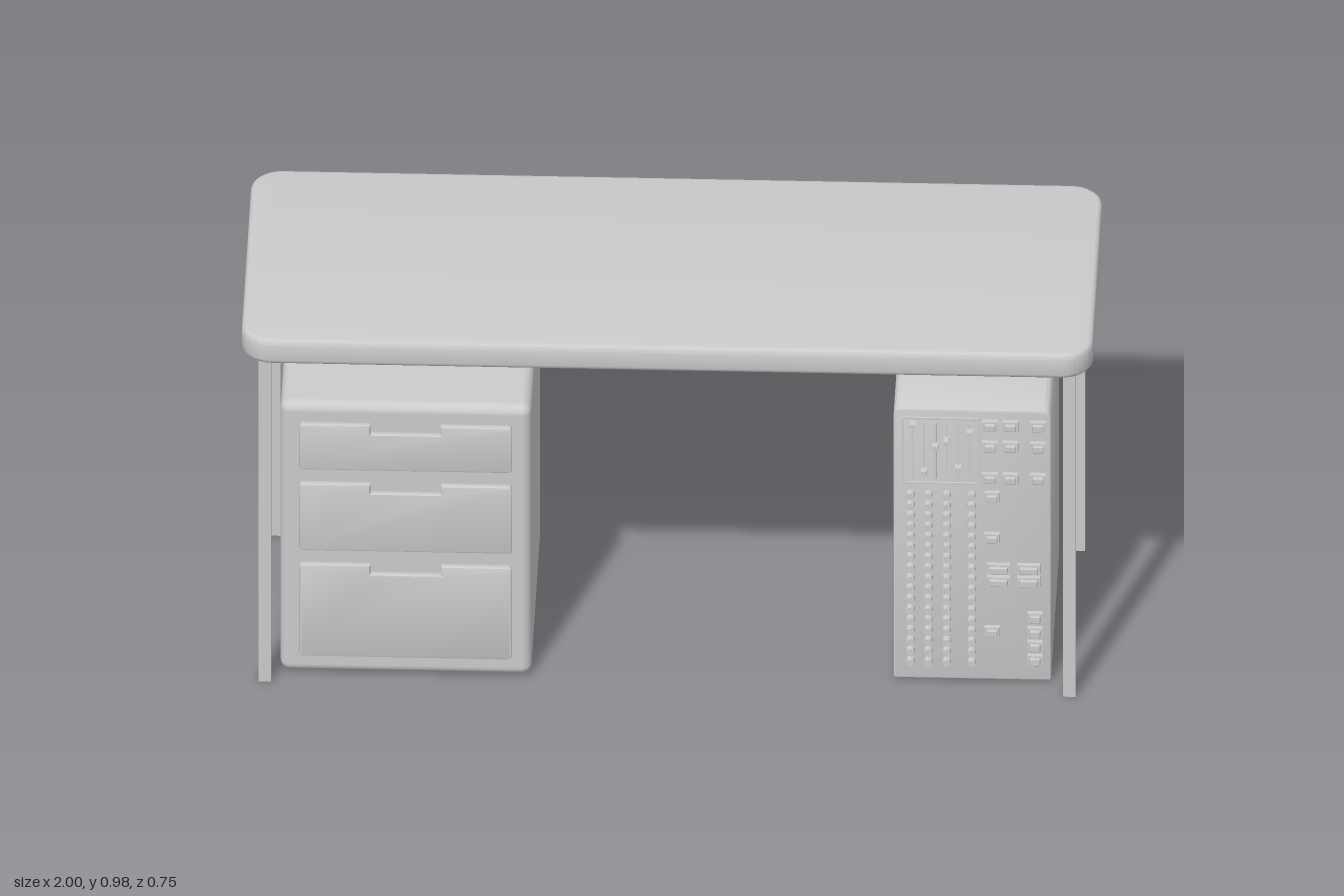
import * as THREE from 'three';
import { RoundedBoxGeometry } from 'three/addons/geometries/RoundedBoxGeometry.js';
import { toCreasedNormals } from 'three/addons/utils/BufferGeometryUtils.js';

const material = new THREE.MeshStandardMaterial({ color: 0xcccccc });

function add(parent, name, geometry, x = 0, y = 0, z = 0) {
  const mesh = new THREE.Mesh(geometry, material);
  mesh.name = name;
  mesh.position.set(x, y, z);
  parent.add(mesh);
  return mesh;
}

// Rectangle centred on the origin, with separate top and bottom corner radii
function roundedRect(w, h, top, bottom = top) {
  const s = new THREE.Shape(), x = w / 2, y = h / 2;
  s.moveTo(-x + bottom, -y);
  s.lineTo(x - bottom, -y);
  s.absarc(x - bottom, -y + bottom, bottom, -Math.PI / 2, 0);
  s.lineTo(x, y - top);
  s.absarc(x - top, y - top, top, 0, Math.PI / 2);
  s.lineTo(-x + top, y);
  s.absarc(-x + top, y - top, top, Math.PI / 2, Math.PI);
  s.lineTo(-x, -y + bottom);
  s.absarc(-x + bottom, -y + bottom, bottom, Math.PI, Math.PI * 1.5);
  return s;
}

// Extrusion with a bevel inside the outline, running from z = 0 to z = depth
function slab(shape, depth, bevel, segments = 3) {
  const g = new THREE.ExtrudeGeometry(shape, {
    depth: depth - 2 * bevel, bevelEnabled: true, bevelSize: bevel, bevelThickness: bevel,
    bevelOffset: -bevel, bevelSegments: segments, curveSegments: 8,
  });
  g.translate(0, 0, bevel);
  return toCreasedNormals(g, 0.6);
}

// Drawer front with a finger notch in its top edge
function drawerFront(w, h) {
  const x = w / 2, y = h / 2, r = 0.01, n = 0.083, d = 0.025;
  const s = new THREE.Shape();
  s.moveTo(-x + r, -y);
  s.lineTo(x - r, -y);
  s.quadraticCurveTo(x, -y, x, -y + r);
  s.lineTo(x, y - r);
  s.quadraticCurveTo(x, y, x - r, y);
  s.lineTo(n, y);
  s.lineTo(n, y - d);
  s.lineTo(-n, y - d);
  s.lineTo(-n, y);
  s.lineTo(-x + r, y);
  s.quadraticCurveTo(-x, y, -x, y - r);
  s.lineTo(-x, -y + r);
  s.quadraticCurveTo(-x, -y, -x + r, -y);
  return slab(s, 0.022, 0.005, 2);
}

function createDesk() {
  const desk = new THREE.Group();
  desk.name = 'desk';
  const top = slab(roundedRect(2, 0.75, 0.075), 0.065, 0.012);
  top.rotateX(-Math.PI / 2);
  add(desk, 'deskTop', top, 0, 0.91, 0);
  for (const x of [-0.945, 0.945])
    for (const z of [-0.3175, 0.3175])
      add(desk, 'leg', new THREE.BoxGeometry(0.03, 0.912, 0.035), x, 0.456, z);
  return desk;
}

function createCabinet() {
  const cabinet = new THREE.Group();
  cabinet.name = 'drawerCabinet';
  add(cabinet, 'cabinetBody', new RoundedBoxGeometry(0.59, 0.75, 0.6, 4, 0.024), -0.615, 0.38, 0);
  // Bottom and top height of each drawer front
  for (const [low, high] of [[0.06, 0.315], [0.355, 0.54], [0.58, 0.705]])
    add(cabinet, 'drawer', drawerFront(0.5, high - low), -0.615, (low + high) / 2, 0.294);
  return cabinet;
}

function createTower() {
  const tower = new THREE.Group();
  tower.name = 'controlTower';
  const face = 0.275;
  add(tower, 'towerBody', slab(roundedRect(0.37, 0.75, 0.022, 0.005), 0.53, 0.004, 2), 0.715, 0.381, -0.255);

  // Thin frame around the sliders
  const frame = roundedRect(0.185, 0.185, 0.005);
  frame.holes.push(roundedRect(0.175, 0.175, 0.003));
  add(tower, 'sliderFrame', new THREE.ExtrudeGeometry(frame, { depth: 0.007, bevelEnabled: false }), 0.6425, 0.6425, face - 0.002);

  // Sliders, each at its own setting
  [0.72, 0.59, 0.66, 0.675, 0.6, 0.7].forEach((y, i) => {
    const x = 0.575 + i * 0.0268;
    add(tower, 'sliderTrack', new THREE.BoxGeometry(0.004, 0.155, 0.006), x, 0.6425, face + 0.001);
    add(tower, 'sliderKnob', new THREE.BoxGeometry(0.014, 0.011, 0.024), x, y, face + 0.011);
  });

  // Knob grid
  const knob = new THREE.CylinderGeometry(0.0095, 0.011, 0.018, 12);
  knob.rotateX(Math.PI / 2);
  const knobGeometry = toCreasedNormals(knob, 0.7);
  for (const x of [0.57, 0.612, 0.655, 0.714])
    for (let i = 0; i < 17; i++)
      add(tower, 'knob', knobGeometry, x, 0.057 + i * 0.029, face + 0.007);

  // Push buttons: a base with a smaller cap
  const button = (x, y, w, h) => {
    add(tower, 'buttonBase', new THREE.BoxGeometry(w, h, 0.014), x, y, face + 0.006);
    add(tower, 'buttonCap', new RoundedBoxGeometry(w - 0.01, h - 0.008, 0.018, 1, 0.003), x, y, face + 0.012);
  };
  for (const x of [0.757, 0.805, 0.87])
    for (const y of [0.718, 0.66, 0.572]) button(x, y, 0.037, 0.026);
  for (const y of [0.52, 0.405, 0.145]) button(0.762, y, 0.036, 0.026);
  for (const x of [0.777, 0.848])
    for (const y of [0.32, 0.285]) button(x, y, 0.054, 0.026);
  for (const y of [0.185, 0.144, 0.105, 0.067]) button(0.863, y, 0.035, 0.028);
  return tower;
}

export function createModel() {
  const model = new THREE.Group();
  model.name = 'deskSet';
  model.add(createDesk(), createCabinet(), createTower());
  return model;
}
